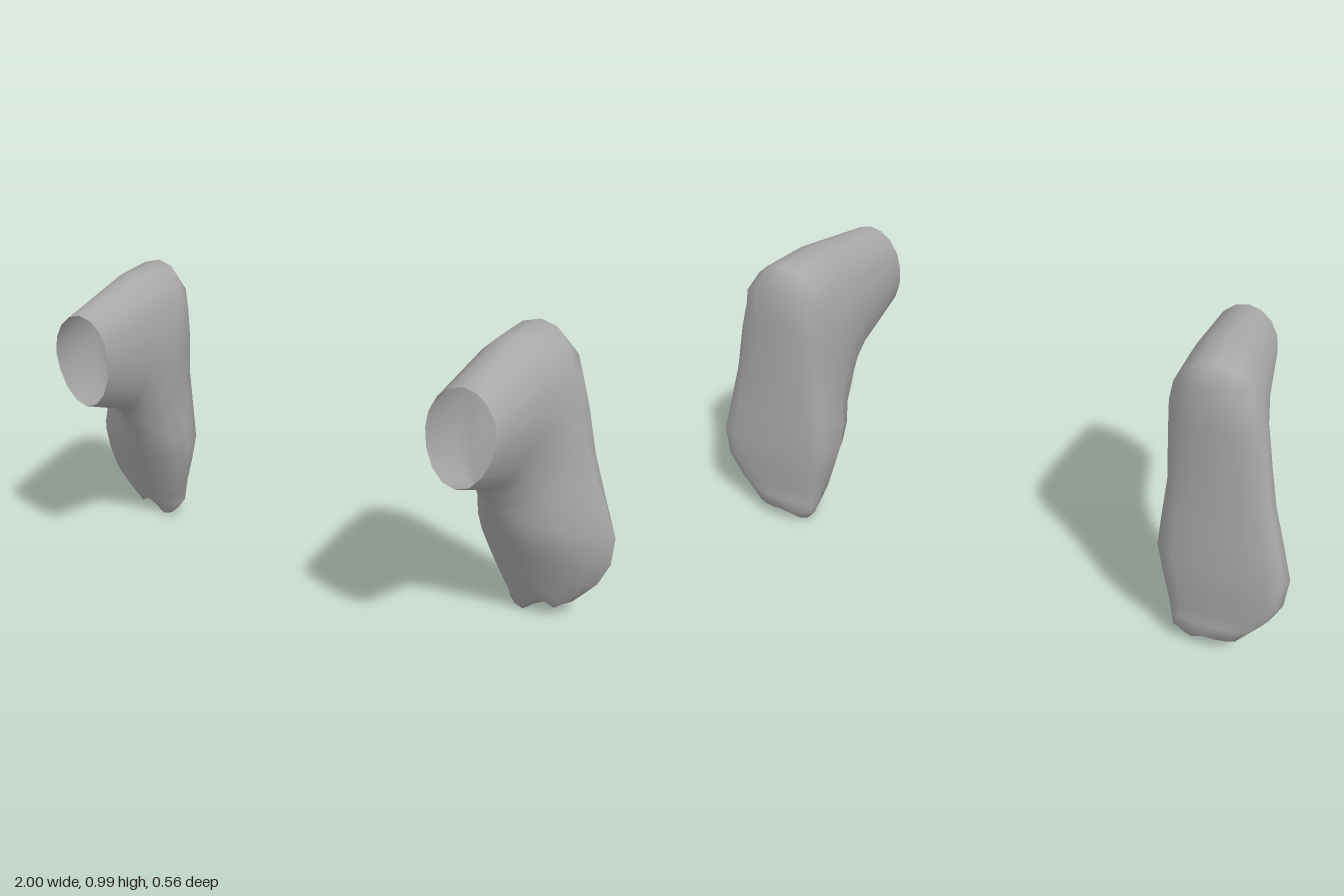
import * as THREE from 'three';

const N = 16; // points per ring

// Rings from the open ankle, round the heel, down to the toes:
// instep z, y | heel/sole z, y | inner x, outer x, ridge x | widest point (0 sole .. 1 instep) | sole roundness
const RINGS = [
  [0.28, 0.61, 0.28, 0.92, 0.56, 0.775, 0.66, 0.45, 1],
  [0.09, 0.535, -0.04, 0.985, 0.56, 0.82, 0.67, 0.45, 0.9],
  [0.045, 0.48, -0.215, 0.99, 0.56, 0.85, 0.68, 0.45, 0.8],
  [0.02, 0.45, -0.262, 0.94, 0.565, 0.87, 0.68, 0.45, 0.7],
  [0.0, 0.42, -0.262, 0.8, 0.575, 0.89, 0.68, 0.38, 0.6],
  [-0.02, 0.385, -0.264, 0.62, 0.588, 0.92, 0.69, 0.32, 0.6],
  [-0.045, 0.335, -0.27, 0.45, 0.585, 0.965, 0.7, 0.28, 0.6],
  [-0.07, 0.29, -0.278, 0.33, 0.585, 0.998, 0.72, 0.26, 0.6],
  [-0.105, 0.22, -0.278, 0.22, 0.612, 0.99, 0.73, 0.28, 0.6],
  [-0.14, 0.15, -0.27, 0.14, 0.632, 0.955, 0.74, 0.35, 0.6],
  [-0.16, 0.1, -0.274, 0.095, 0.645, 0.915, 0.75, 0.4, 0.6],
  [-0.182, 0.055, -0.277, 0.05, 0.658, 0.875, 0.76, 0.45, 0.6],
  [-0.2, 0, -0.24, 0, 0.668, 0.855, 0.76, 0.5, 0.7],
];

// Height of the toe tips from the outer to the inner side, with the notch beside the big toe
const TOES = [0.052, 0.045, 0.03, 0.048, 0.03, 0, 0.008, 0.028, 0.04];

function footGeometry(side) {
  const positions = [];
  const index = [];
  // mirrored feet need the opposite corner order
  const tri = (a, b, c) => (side > 0 ? index.push(a, b, c) : index.push(a, c, b));

  RINGS.forEach(([az, ay, bz, by, inner, outer, ridge, widest, round], i) => {
    const mid = (inner + outer) / 2;
    for (let j = 0; j < N; j++) {
      const angle = (j / N) * Math.PI * 2;
      const s = Math.sin(angle);
      const x = mid + (Math.cos(angle) * (outer - inner)) / 2 + (ridge - mid) * Math.max(s, 0);
      const u = s > 0
        ? widest + (1 - widest) * Math.pow(s, 1.1)
        : widest * (1 - Math.pow(-s, round));
      const tip = i === RINGS.length - 1 ? TOES[Math.min(j, N - j)] : 0;
      positions.push(side * x, by + (ay - by) * u + tip, bz + (az - bz) * u);
    }
  });

  // skin between the rings
  for (let i = 0; i < RINGS.length - 1; i++) {
    for (let j = 0; j < N; j++) {
      const a = i * N + j;
      const b = i * N + ((j + 1) % N);
      tri(a, b, a + N);
      tri(b, b + N, a + N);
    }
  }

  // toe tips, sewn from the upper edge to the lower edge
  const last = (RINGS.length - 1) * N;
  for (let j = 0; j < N / 2; j++) {
    const back = last + ((N - j) % N);
    const nextBack = last + N - j - 1;
    if (j > 0) tri(last + j, last + j + 1, back);
    if (j < N / 2 - 1) tri(last + j + 1, nextBack, back);
  }

  const geometry = new THREE.BufferGeometry();
  geometry.setAttribute('position', new THREE.Float32BufferAttribute(positions, 3));
  geometry.setIndex(index);
  geometry.computeVertexNormals();
  return geometry;
}

export function createModel() {
  const model = new THREE.Group();
  model.name = 'pairOfFeet';
  const grey = new THREE.MeshStandardMaterial({ color: 0xa8a8a8, side: THREE.DoubleSide });
  grey.name = 'grey';

  for (const side of [1, -1]) {
    const foot = new THREE.Mesh(footGeometry(side), grey);
    foot.name = side > 0 ? 'leftFoot' : 'rightFoot';
    model.add(foot);
  }
  return model;
}
